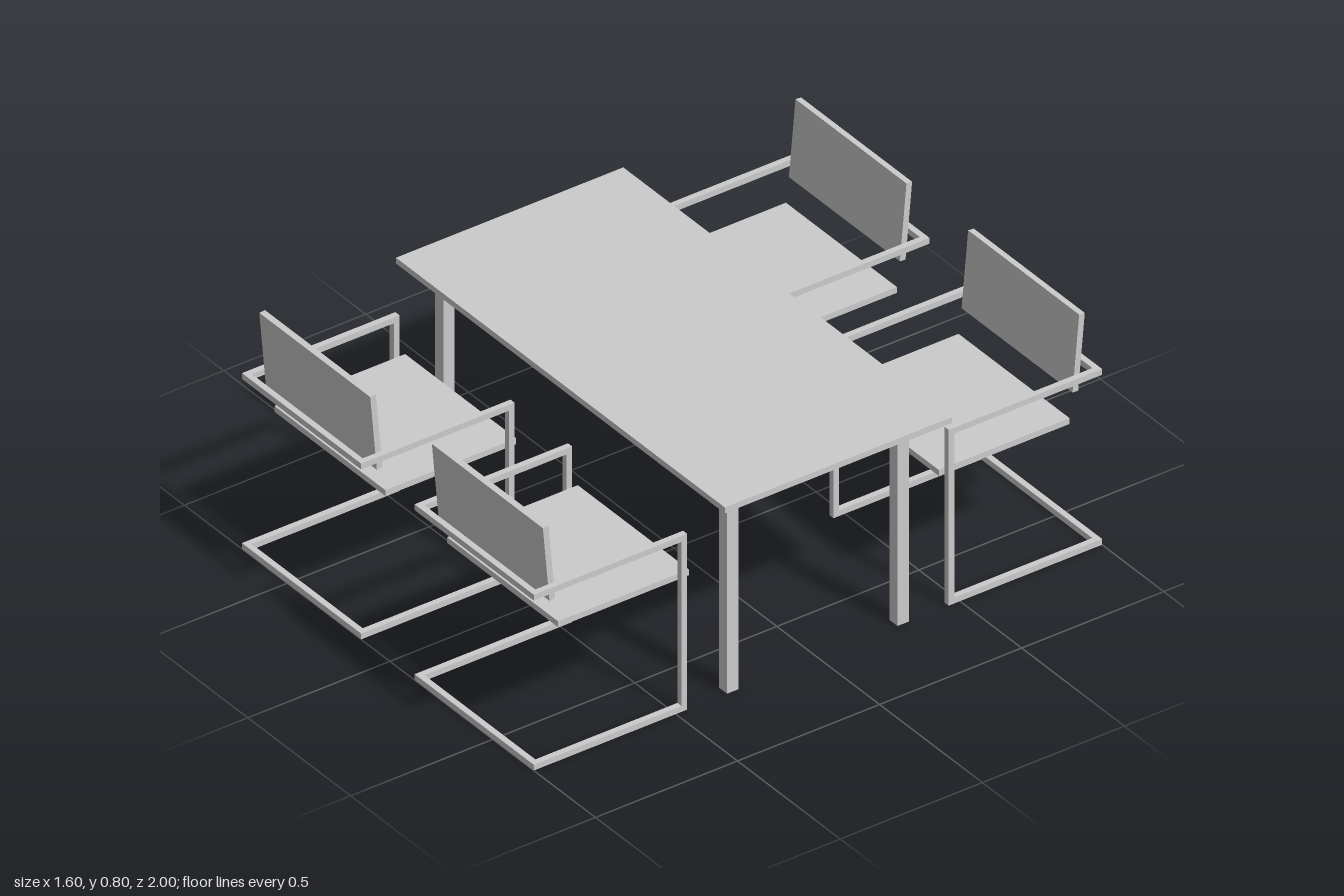
import * as THREE from 'three';

const material = new THREE.MeshStandardMaterial({ color: 0xcccccc });

function box(parent, name, size, position) {
  const mesh = new THREE.Mesh(new THREE.BoxGeometry(...size), material);
  mesh.name = name;
  mesh.position.set(...position);
  parent.add(mesh);
  return mesh;
}

// Table: slab top, four square legs and an apron flush with the legs
function createTable() {
  const table = new THREE.Group();
  table.name = 'table';
  const cx = -0.01, lx = 0.69, lz = 0.3, t = 0.04;
  box(table, 'tableTop', [1.6, 0.02, 0.8], [0, 0.71, 0]);
  for (const s of [-1, 1]) {
    for (const e of [-1, 1]) box(table, 'tableLeg', [t, 0.7, t], [cx + s * lx, 0.35, e * lz]);
    box(table, 'sideApron', [t, 0.06, 2 * lz - t], [cx + s * lx, 0.67, 0]);
    box(table, 'longApron', [2 * lx - t, 0.06, t], [cx, 0.67, s * lz]);
  }
  return table;
}

// Cantilever chair whose back is towards +z
function createChair() {
  const chair = new THREE.Group();
  chair.name = 'chair';
  const t = 0.02, front = 0.46, back = 1, armTop = 0.6;
  const depth = back - front, midZ = (back + front) / 2;
  // Side frames: floor runner, front upright and armrest
  for (const s of [-1, 1]) {
    const x = s * 0.28;
    box(chair, 'floorRunner', [t, t, depth], [x, t / 2, midZ]);
    box(chair, 'armrest', [t, t, depth], [x, armTop - t / 2, midZ]);
    box(chair, 'frontUpright', [t, armTop - 2 * t, t], [x, armTop / 2, front + t / 2]);
  }
  // Rear cross bars join the two side frames
  for (const y of [t / 2, armTop - t / 2]) box(chair, 'rearCrossBar', [0.54, t, t], [0, y, back - t / 2]);
  box(chair, 'seat', [0.54, 0.02, 0.46], [0, 0.45, 0.67]);
  box(chair, 'backrest', [0.54, 0.258, 0.02], [0, 0.671, 0.932]).rotation.x = 0.09;
  return chair;
}

export function createModel() {
  const model = new THREE.Group();
  model.name = 'diningSet';
  model.add(createTable());
  // Two chairs on each long side, facing the table
  for (const x of [-0.43, 0.41]) {
    for (const turn of [0, Math.PI]) {
      const chair = createChair();
      chair.position.x = x;
      chair.rotation.y = turn;
      model.add(chair);
    }
  }
  return model;
}
